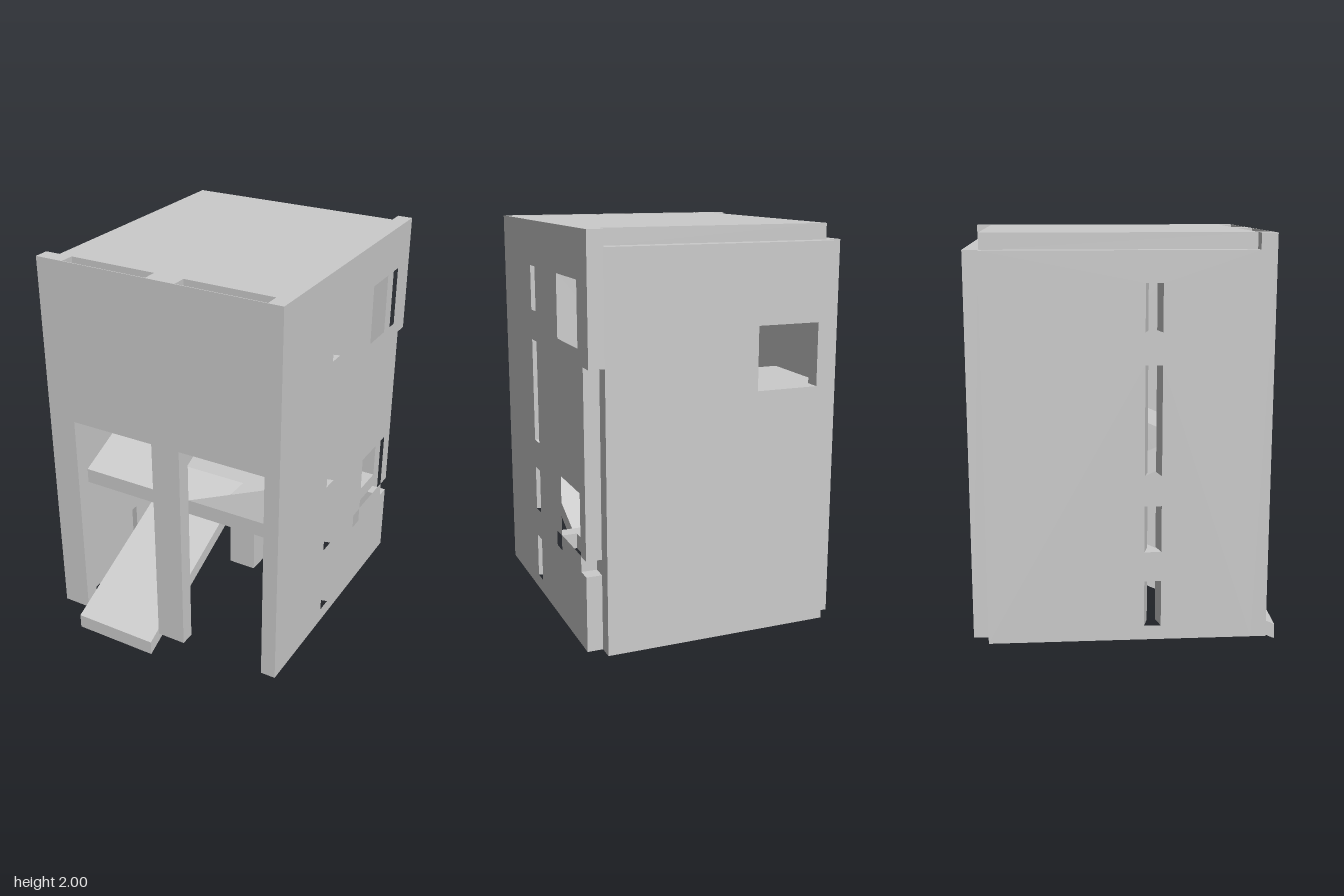
import * as THREE from 'three';

const material = new THREE.MeshStandardMaterial({ color: 0xcccccc, flatShading: true });
const T = 0.075; // plate thickness

export function createModel() {
  const group = new THREE.Group();

  const add = (name, geometry) => {
    const mesh = new THREE.Mesh(geometry, material);
    mesh.name = name;
    group.add(mesh);
    return mesh;
  };

  // box from its minimum and maximum corners
  const box = (name, x0, x1, y0, y1, z0, z1) => {
    const g = new THREE.BoxGeometry(x1 - x0, y1 - y0, z1 - z0);
    g.translate((x0 + x1) / 2, (y0 + y1) / 2, (z0 + z1) / 2);
    return add(name, g);
  };

  const outline = (pts) => pts.map(([a, b]) => new THREE.Vector2(a, b));
  const rect = (a0, a1, b0, b1) => [[a0, b0], [a1, b0], [a1, b1], [a0, b1]];
  const extrude = (pts, holes, depth) => {
    const shape = new THREE.Shape(outline(pts));
    for (const h of holes) shape.holes.push(new THREE.Path(outline(h)));
    return new THREE.ExtrudeGeometry(shape, { depth, bevelEnabled: false });
  };

  // plate in the x-y plane, starting at z0
  const plateXY = (name, pts, holes, z0, depth) =>
    add(name, extrude(pts, holes, depth).translate(0, 0, z0));

  // plate drawn as (z, y) points, extruded along x from x0
  const plateZY = (name, pts, holes, x0, depth) => {
    const flip = (list) => list.map(([z, y]) => [-z, y]);
    const g = extrude(flip(pts), holes.map(flip), depth);
    return add(name, g.rotateY(Math.PI / 2).translate(x0, 0, 0));
  };

  // front wall: two gateways, and two pockets in its top behind a thin skin
  const gates = [[-0.485, -0.04], [0.11, 0.555]];
  const front = (top) => {
    const pts = [[-0.63, 0.08]];
    for (const [a, b] of gates) pts.push([a, 0.08], [a, 1.19], [b, 1.19], [b, 0.08]);
    pts.push([0.63, 0.08], [0.63, 2], ...top, [-0.63, 2]);
    return pts;
  };
  const pockets = [];
  for (const [a, b] of [...gates].reverse()) {
    pockets.push([b, 2], [b, 2 - T], [a, 2 - T], [a, 2]);
  }
  plateXY('frontWall', front(pockets), [], 0.59, 0.071);
  plateXY('frontWallSkin', front([]), [], 0.661, 0.004);

  // narrow side windows shared by both side walls
  const slits = [[0.15, 0.375], [0.52, 0.745], [0.89, 1.41], [1.56, 1.78]];
  const slitHoles = slits.map(([a, b]) => rect(0.075, 0.155, a, b));

  // right wall (+x) with square windows, tab slot and stepped rear edge
  plateZY('sideWallWithWindows', [
    [0.59, 0.08], [0.59, 2], [-0.74, 2], [-0.74, 1.41], [-0.665, 1.41],
    [-0.665, 0.52], [-0.592, 0.52], [-0.592, 0.445], [-0.665, 0.445], [-0.665, 0.08],
  ], [
    ...slitHoles,
    rect(-0.588, -0.295, 0.523, 0.82),
    rect(-0.595, -0.29, 1.48, 1.78),
    rect(-0.292, -0.215, 0.445, 0.52),
  ], 0.555, T);

  // left wall (-x), stopping below the roof
  plateZY('plainSideWall', rect(-0.665, 0.59, 0.08, 2 - T), slitHoles, -0.63, T);

  // splayed jambs that narrow each slit toward the inside
  for (const side of [1, -1]) {
    for (const [a, b] of slits) {
      for (const [zOuter, zInner] of [[0.155, 0.135], [0.075, 0.095]]) {
        const tri = [[side * 0.63, -zOuter], [side * 0.555, -zOuter], [side * 0.555, -zInner]];
        const g = extrude(tri, [], b - a);
        add('slitJamb', g.rotateX(-Math.PI / 2).translate(0, a, 0));
      }
    }
  }

  // back wall with one window
  plateXY('backWall', rect(-0.555, 0.555, 0.08, 2 - T),
    [rect(-0.485, -0.18, 1.255, 1.555)], -0.74, T);

  // roof slab
  box('roof', -0.555, 0.555, 2 - T, 2, -0.665, 0.59);

  // landings at the back and the post between the ramps
  box('lowerLanding', -0.555, 0.555, 0.445, 0.52, -0.665, -0.215);
  box('upperLanding', -0.555, 0.555, 1.18, 1.255, -0.665, -0.215);
  box('landingPost', -0.04, 0.11, 0.08, 0.52, -0.215, -0.075);

  // sloping ramps with upright ends: z and underside height at each end
  const ramp = (name, [x0, x1], zFront, yFront, zBack, yBack) =>
    plateZY(name, [
      [zFront, yFront], [zFront, yFront + T], [zBack, yBack + T], [zBack, yBack],
    ], [], x0, x1 - x0);
  ramp('entryRamp', gates[0], 0.74, 0, -0.215, 0.445);
  ramp('middleRamp', gates[1], 0.59, 0.815, -0.215, 0.445);
  ramp('upperRamp', gates[0], 0.59, 0.815, -0.215, 1.18);

  return group;
}
